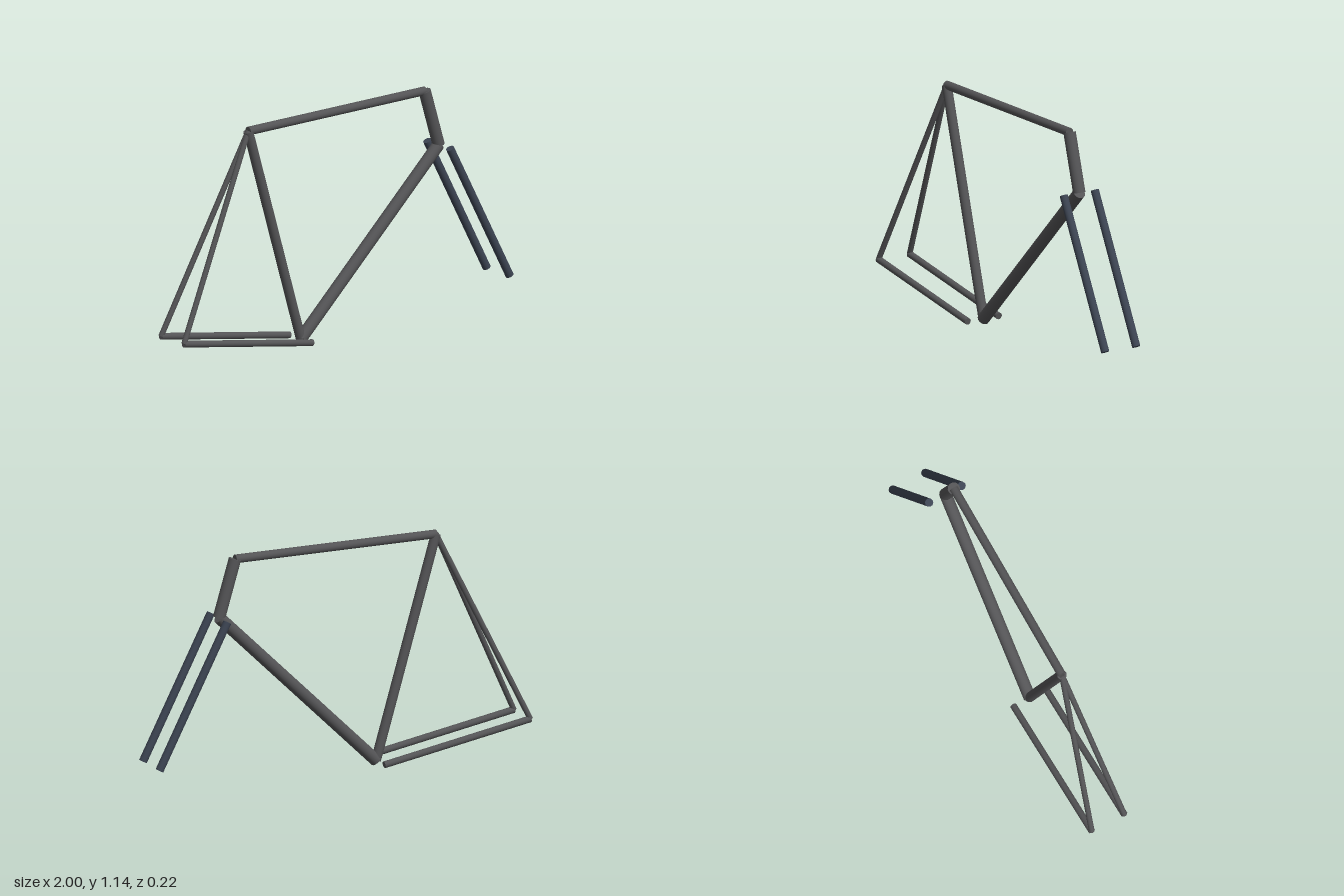
import * as THREE from 'three';

const frameMaterial = new THREE.MeshStandardMaterial({ color: 0x545456 });
const forkMaterial = new THREE.MeshStandardMaterial({ color: 0x3c4452 });

// Straight capped tube between two points
function tube(name, from, to, radius, material = frameMaterial) {
  const a = new THREE.Vector3(...from);
  const b = new THREE.Vector3(...to);
  const axis = b.clone().sub(a);
  const mesh = new THREE.Mesh(new THREE.CylinderGeometry(radius, radius, axis.length(), 16), material);
  mesh.name = name;
  mesh.position.copy(a).add(b).multiplyScalar(0.5);
  mesh.quaternion.setFromUnitVectors(new THREE.Vector3(0, 1, 0), axis.normalize());
  return mesh;
}

export function createModel() {
  const model = new THREE.Group();
  model.name = 'bicycleFrame';

  // Joints of the frame
  const bracket = [-0.212, 0.0215, 0];
  const seatTop = [-0.53, 1.1, 0];
  const headTop = [0.536, 1.115, 0];
  const headBottom = [0.62, 0.836, 0];

  // Main frame
  model.add(
    tube('seatTube', bracket, seatTop, 0.024),
    tube('topTube', seatTop, headTop, 0.021),
    tube('downTube', bracket, headBottom, 0.03),
    tube('headTube', headBottom, headTop, 0.03)
  );

  // Paired stays and fork blades
  for (const [side, z] of [['left', 0.088], ['right', -0.088]]) {
    const dropout = [-0.987, 0.148, z];
    model.add(
      tube(side + 'ChainStay', [bracket[0], bracket[1], z], dropout, 0.0165),
      tube(side + 'SeatStay', dropout, seatTop, 0.0135),
      tube(side + 'ForkBlade', [headBottom[0], headBottom[1], z], [0.98, 0.148, z], 0.02, forkMaterial)
    );
  }
  return model;
}
